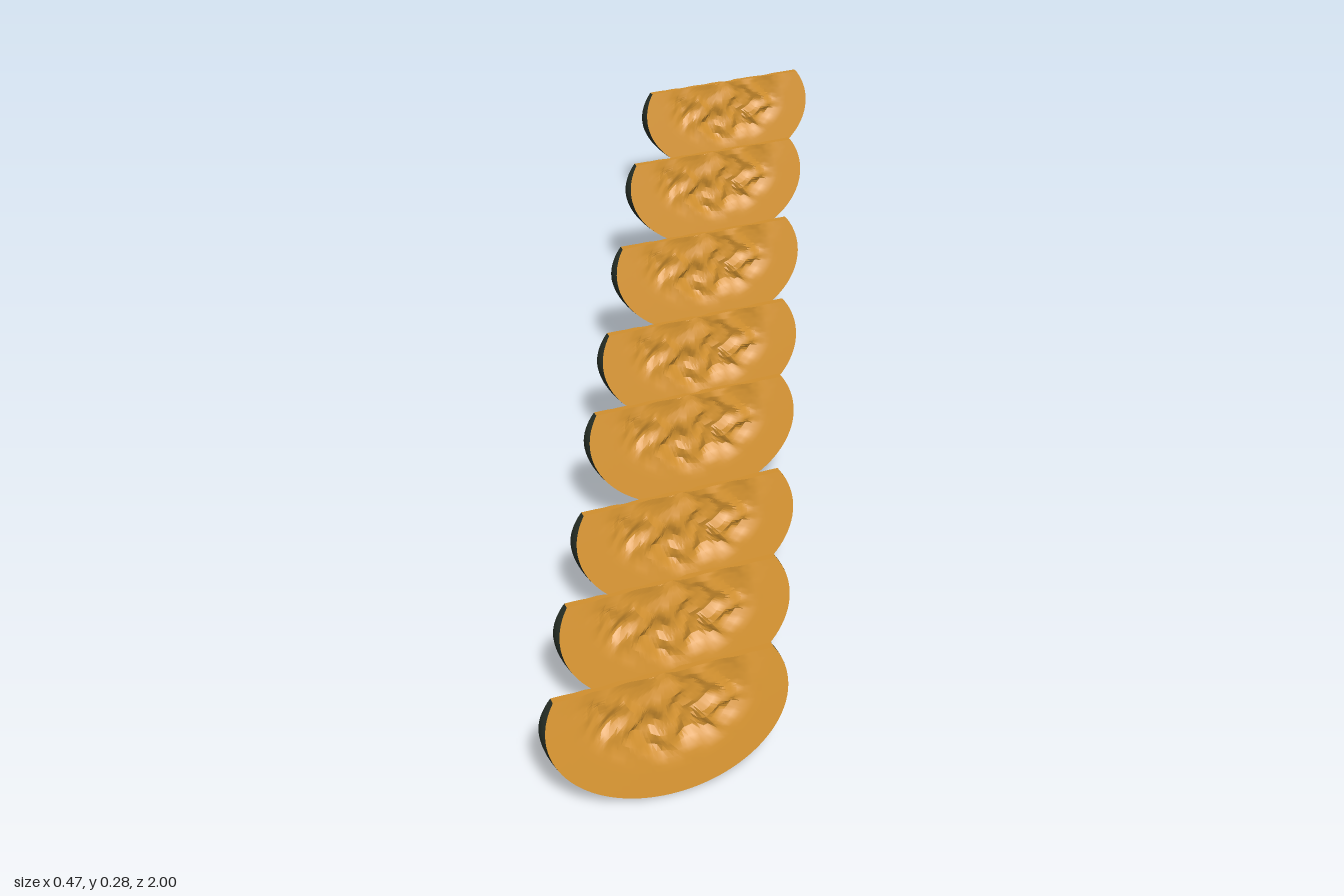
import * as THREE from 'three';
import { toCreasedNormals } from 'three/addons/utils/BufferGeometryUtils.js';

const HALF = 0.184, DROP = 0.055, DEEP = 0.13; // ellipse outline of a slice
const START = Math.asin(DROP / DEEP);
const ANGLES = 64, RINGS = 20;

// Point on the outline, q = 0 at the top right end, 1 at the top left end
function outline(q) {
  const a = -START + q * (Math.PI + 2 * START);
  return [HALF * Math.cos(a), -(DROP + DEEP * Math.sin(a))];
}

const thickness = (y) => 0.006 + 0.19 * Math.max(0, -y); // half, wedge shaped

// Half thickness of a cut face, with the torn seed hollow pressed into it
function faceDepth(x, y, seed) {
  const r = Math.hypot(x / 0.15, y / 0.135);
  const mask = 1 - THREE.MathUtils.smoothstep(r, 0.72, 1.0);
  const wx = x + 0.012 * Math.sin(60 * y + seed) + 0.008 * Math.sin(95 * y + 40 * x);
  const wy = y + 0.015 * Math.sin(45 * x + 2 * seed);
  const ridge = Math.abs(Math.sin(48 * wx + 12 * wy + seed));
  const lumps = 0.5 + 0.5 * Math.sin(85 * wx - 30 * wy + 3 * seed) * Math.sin(70 * wy + seed);
  const dent = THREE.MathUtils.clamp(1.1 * ridge * lumps + 0.25 * lumps - 0.1, 0, 0.75);
  return thickness(y) * (1 - mask * dent);
}

// Grid surface from a function of two parameters in 0..1
function surface(nu, nv, point, flip, crease) {
  const pos = [], index = [];
  for (let j = 0; j <= nv; j++)
    for (let i = 0; i <= nu; i++) pos.push(...point(i / nu, j / nv));
  for (let j = 0; j < nv; j++)
    for (let i = 0; i < nu; i++) {
      const a = j * (nu + 1) + i, b = a + 1, c = a + nu + 1, d = c + 1;
      if (flip) index.push(a, c, b, b, c, d);
      else index.push(a, b, c, b, d, c);
    }
  const g = new THREE.BufferGeometry();
  g.setAttribute('position', new THREE.Float32BufferAttribute(pos, 3));
  g.setIndex(index);
  g.computeVertexNormals();
  return crease ? toCreasedNormals(g, crease) : g;
}

function cutFace(side, seed) {
  return surface(ANGLES, RINGS, (q, s) => {
    const [ox, oy] = outline(q);
    const x = ox * s, y = oy * s;
    return [x, y, side * faceDepth(x, y, seed)];
  }, side < 0, 0.6);
}

export function createModel() {
  const flesh = new THREE.MeshStandardMaterial({ color: 0xd4922f });
  const skin = new THREE.MeshStandardMaterial({ color: 0x2b342b });
  const FRONT = 0.7, BACK = 3.9; // seeds of the two cut faces

  // Curved skin between the two cut faces, bulging slightly
  const rind = surface(ANGLES, 6, (q, t) => {
    const [x, y] = outline(q), k = 1 - 2 * t;
    const bulge = 1 + 0.012 * (1 - k * k) * Math.min(1, -y / 0.05);
    return [x * bulge, y * bulge, k * thickness(y)];
  });

  // Narrow inner edge along the top
  const edge = surface(2 * RINGS, 1, (q, t) => {
    const x = (2 * q - 1) * outline(0)[0];
    return [x, 0, t ? -faceDepth(x, 0, BACK) : faceDepth(x, 0, FRONT)];
  });

  const parts = [
    ['frontFlesh', cutFace(1, FRONT), flesh],
    ['backFlesh', cutFace(-1, BACK), flesh],
    ['innerEdge', edge, flesh],
    ['rind', rind, skin],
  ];

  // Row of slices climbing towards the back: x, base height, z
  const places = [
    [-0.057, 0, 0.912], [-0.047, 0.013, 0.717], [-0.032, 0.016, 0.493], [-0.021, 0.042, 0.247],
    [-0.007, 0.058, 0.017], [0.009, 0.073, -0.272], [0.028, 0.09, -0.588], [0.055, 0.097, -0.917],
  ];
  const model = new THREE.Group();
  model.name = 'slicedFruit';
  places.forEach(([x, y, z], i) => {
    const slice = new THREE.Group();
    slice.name = `slice${i + 1}`;
    for (const [name, geometry, material] of parts) {
      const mesh = new THREE.Mesh(geometry, material);
      mesh.name = name;
      slice.add(mesh);
    }
    slice.rotation.set(-0.06, 0.37, 0, 'YXZ');
    slice.position.set(x, y + 0.187, z - 0.004);
    model.add(slice);
  });
  return model;
}
